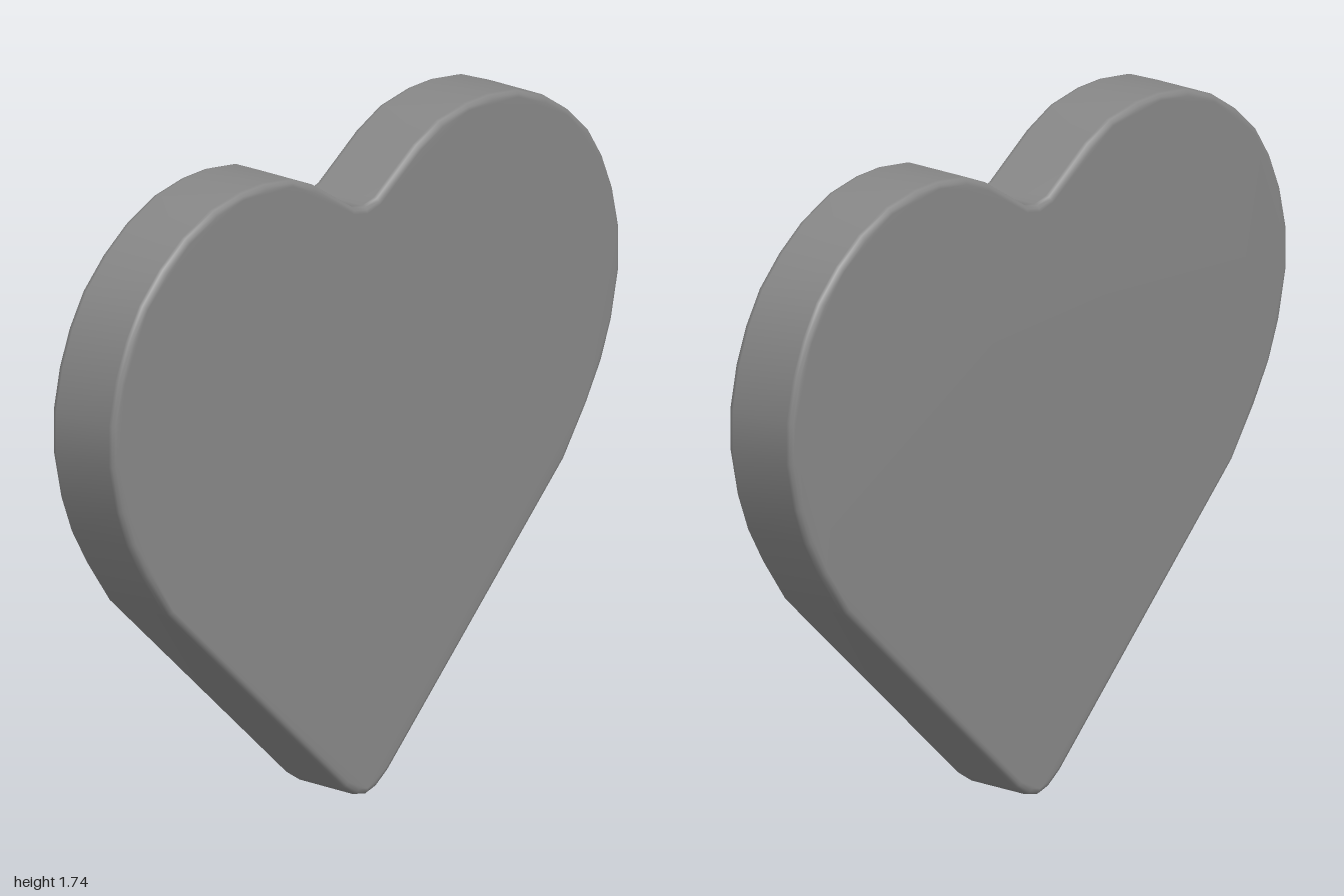
import * as THREE from 'three';
import { mergeVertices } from 'three/addons/utils/BufferGeometryUtils.js';

const DEPTH = 0.208;
const BEVEL = 0.018;

// Left half of the heart, from the bottom tip up to the notch
const HALF = [
  [0, 0], [0.04, 0.01], [0.085, 0.04], [0.78, 0.685], [0.87, 0.81], [0.93, 0.91], [0.97, 1.01],
  [1, 1.14], [1, 1.25], [0.975, 1.36], [0.935, 1.455], [0.88, 1.54], [0.8, 1.615], [0.71, 1.675],
  [0.6, 1.72], [0.49, 1.737], [0.4, 1.737], [0.29, 1.72], [0.2, 1.68], [0.045, 1.58], [0, 1.57],
];

export function createModel() {
  const group = new THREE.Group();
  group.name = 'heart';

  // Mirror the half, skipping the two points on the centre line
  const mirrored = HALF.slice(1, -1).reverse().map(([x, y]) => [-x, y]);
  const outline = [...HALF, ...mirrored].map(([x, y]) => new THREE.Vector2(x, y));

  // Thick plate with small rounded edges on both faces
  const plate = new THREE.ExtrudeGeometry(new THREE.Shape(outline), {
    depth: DEPTH - 2 * BEVEL,
    bevelEnabled: true,
    bevelThickness: BEVEL,
    bevelSize: BEVEL,
    bevelOffset: -BEVEL,
    bevelSegments: 3,
  });
  plate.translate(0, 0, BEVEL - DEPTH / 2);

  // Weld the corners so the faces, rounded edges and rim shade as one surface
  plate.deleteAttribute('normal');
  plate.deleteAttribute('uv');
  const smooth = mergeVertices(plate);
  smooth.computeVertexNormals();

  const mesh = new THREE.Mesh(smooth, new THREE.MeshStandardMaterial({ color: 0x878787 }));
  mesh.name = 'heartPlate';
  group.add(mesh);
  return group;
}
